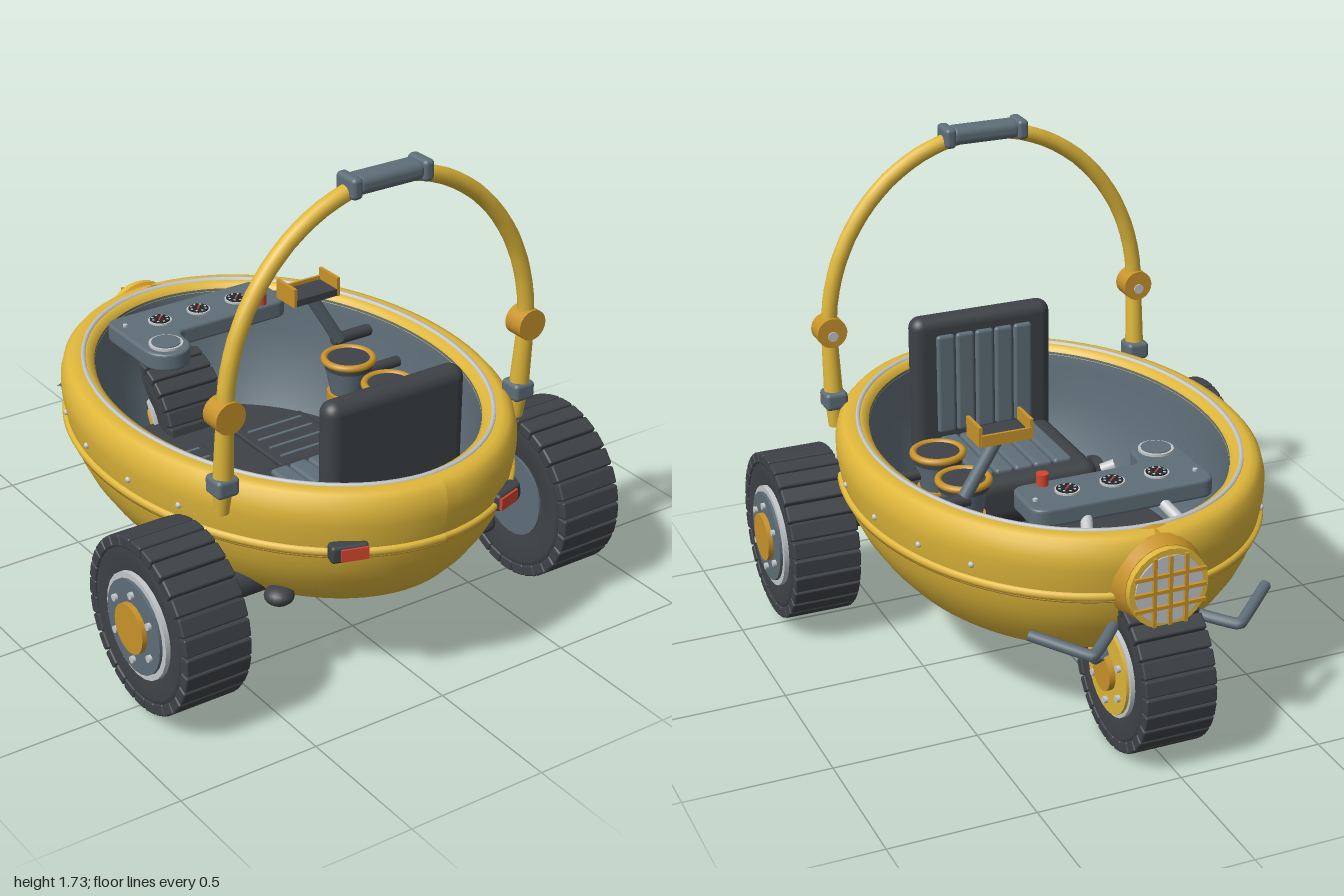
import * as THREE from 'three';
import { RoundedBoxGeometry } from 'three/addons/geometries/RoundedBoxGeometry.js';

const V = (x, y, z) => new THREE.Vector3(x, y, z);
const colour = (name, hex) => {
  const m = new THREE.MeshStandardMaterial({ color: hex });
  m.name = name;
  return m;
};

export function createModel() {
  const yellow = colour('yellow paint', 0xdfb73b), amber = colour('amber', 0xc9932b);
  const rubber = colour('dark rubber', 0x3e4246), slate = colour('slate grey', 0x5f6e78);
  const silver = colour('silver', 0xc4c8ca), black = colour('black', 0x22262a), red = colour('red', 0xd2452f);
  const model = new THREE.Group();

  const add = (name, geo, mat, x = 0, y = 0, z = 0, parent = model) => {
    const mesh = new THREE.Mesh(geo, mat);
    mesh.name = name;
    mesh.position.set(x, y, z);
    parent.add(mesh);
    return mesh;
  };
  const box = (name, w, h, d, mat, x, y, z, parent) => add(name, new THREE.BoxGeometry(w, h, d), mat, x, y, z, parent);
  const soft = (name, w, h, d, r, mat, x, y, z) => add(name, new RoundedBoxGeometry(w, h, d, 4, r), mat, x, y, z);
  // Cylinder between two points
  const rod = (name, a, b, r1, mat, r2 = r1, parent = model) => {
    const dir = b.clone().sub(a);
    const mesh = add(name, new THREE.CylinderGeometry(r2, r1, dir.length(), 24), mat, 0, 0, 0, parent);
    mesh.position.copy(a).add(b).multiplyScalar(0.5);
    mesh.quaternion.setFromUnitVectors(V(0, 1, 0), dir.normalize());
    return mesh;
  };
  const pipe = (name, pts, r, mat) => add(name, new THREE.TubeGeometry(new THREE.CatmullRomCurve3(pts, false, 'catmullrom', 0.1), 40, r, 12), mat);
  // Lathe of [half width, y] stretched to the oval plan of the hull
  const oval = (name, profile, mat) => {
    const geo = new THREE.LatheGeometry(profile.map(([r, y]) => new THREE.Vector2(r, y)), 96);
    const p = geo.attributes.position;
    for (let i = 0; i < p.count; i++) {
      const r = Math.hypot(p.getX(i), p.getZ(i));
      p.setZ(i, p.getZ(i) * (r + 0.21) / r + 0.08);
    }
    geo.computeVertexNormals();
    return add(name, geo, mat);
  };

  // Hull
  oval('hullShell', [[0.46, 0.3], [0.5, 0.302], [0.54, 0.325], [0.585, 0.375], [0.63, 0.44], [0.66, 0.5], [0.678, 0.56],
    [0.69, 0.62], [0.7, 0.68], [0.7, 0.72], [0.69, 0.76], [0.672, 0.78], [0.65, 0.787], [0.61, 0.785], [0.59, 0.775], [0.58, 0.755]], yellow);
  oval('hullBand', [[0.675, 0.57], [0.694, 0.573], [0.7, 0.585], [0.696, 0.597], [0.68, 0.6]], yellow);
  oval('bandGroove', [[0.675, 0.562], [0.69, 0.565], [0.69, 0.572], [0.675, 0.575]], amber);
  oval('rimTrim', [[0.628, 0.785], [0.626, 0.793], [0.616, 0.793], [0.612, 0.784]], silver);
  oval('innerLining', [[0.582, 0.765], [0.575, 0.72], [0.57, 0.6], [0.54, 0.45], [0.48, 0.32]], slate);

  // Floor plate, trimmed straight along the sides
  const outline = [];
  for (let i = 0; i < 64; i++) {
    const a = i / 64 * Math.PI * 2;
    outline.push(new THREE.Vector2(Math.max(-0.455, Math.min(0.455, 0.495 * Math.cos(a))), -0.08 + 0.7 * Math.sin(a)));
  }
  const floor = new THREE.ExtrudeGeometry(new THREE.Shape(outline), { depth: 0.03, bevelEnabled: false });
  floor.rotateX(-Math.PI / 2);
  add('floor', floor, rubber, 0, 0.305, 0);
  for (const s of [-1, 1]) {
    soft('floorMat', 0.29, 0.02, 0.35, 0.008, rubber, s * 0.22, 0.343, -0.175);
    for (let i = 0; i < 4; i++) box('matRib', 0.23, 0.008, 0.012, slate, s * 0.22, 0.355, -0.3 + i * 0.07);
  }

  // Wheels: built along +x, outer face at +x
  const wheel = (name, x, y, z, r, width, flip) => {
    const g = new THREE.Group();
    g.name = name;
    g.position.set(x, y, z);
    if (flip) g.rotation.y = Math.PI;
    model.add(g);
    const h = width / 2, q = r - 0.02;
    const tyre = new THREE.LatheGeometry([[0.1, -h + 0.025], [r * 0.6, -h + 0.015], [r * 0.82, -h], [q, -h + 0.015], [q, h - 0.015],
      [r * 0.82, h], [r * 0.6, h - 0.015], [0.1, h - 0.025]].map(([a, b]) => new THREE.Vector2(a, b)), 56);
    tyre.rotateZ(-Math.PI / 2);
    add('tyre', tyre, rubber, 0, 0, 0, g);
    const n = 28;
    for (let i = 0; i < n; i++) {
      const a = i / n * Math.PI * 2;
      const t = add('treadBlock', new RoundedBoxGeometry(width, 0.04, r * 2 * Math.PI / n * 0.9, 1, 0.007), rubber,
        0, Math.cos(a) * (r - 0.02), Math.sin(a) * (r - 0.02), g);
      t.rotation.x = a;
    }
    return g;
  };
  const disc = (g, name, r, x0, x1, mat) => rod(name, V(x0, 0, 0), V(x1, 0, 0), r, mat, r, g);
  const bolts = (g, n, radius, x) => {
    for (let i = 0; i < n; i++) {
      const a = i / n * Math.PI * 2, y = Math.cos(a) * radius, z = Math.sin(a) * radius;
      rod('wheelBolt', V(x - 0.01 * Math.sign(x), y, z), V(x + 0.01 * Math.sign(x), y, z), 0.012, silver, 0.012, g);
    }
  };
  for (const s of [-1, 1]) {
    const g = wheel('rearWheel', s * 0.75, 0.333, 0.54, 0.298, 0.24, s < 0);
    disc(g, 'hubRing', 0.18, 0, 0.122, silver);
    disc(g, 'hubPlate', 0.16, 0, 0.132, slate);
    disc(g, 'hubCap', 0.085, 0, 0.15, amber);
    disc(g, 'innerHub', 0.15, -0.11, 0, slate);
    bolts(g, 6, 0.118, 0.134);
    rod('rearAxle', V(s * 0.38, 0.36, 0.54), V(s * 0.68, 0.36, 0.54), 0.05, rubber);
    const pad = add('suspensionPad', new THREE.SphereGeometry(0.05, 20, 12), rubber, s * 0.41, 0.35, 0.66);
    pad.scale.set(1, 0.65, 1);
  }
  const front = wheel('frontWheel', 0, 0.277, -0.72, 0.277, 0.25, false);
  for (const s of [-1, 1]) {
    disc(front, 'hubRing', 0.16, 0, s * 0.124, silver);
    disc(front, 'hubPlate', 0.148, 0, s * 0.134, yellow);
    disc(front, 'hubCap', 0.065, 0, s * 0.155, amber);
    bolts(front, 6, 0.108, s * 0.137);
    rod('forkPeg', V(s * 0.15, 0.35, -0.73), V(s * 0.16, 0.31, -0.68), 0.024, slate);
    pipe('frontBar', [V(s * 0.1, 0.46, -0.72), V(s * 0.18, 0.45, -0.81), V(s * 0.26, 0.44, -0.88), V(s * 0.42, 0.485, -0.75)], 0.019, slate);
  }

  // Headlight with guard
  rod('headlightBase', V(0, 0.625, -0.76), V(0, 0.625, -0.86), 0.168, amber, 0.14);
  rod('headlightRing', V(0, 0.625, -0.85), V(0, 0.625, -0.885), 0.138, yellow);
  rod('headlightLens', V(0, 0.625, -0.88), V(0, 0.625, -0.89), 0.118, silver);
  for (const k of [-0.055, 0, 0.055]) {
    box('guardBar', 0.012, 0.24, 0.012, amber, k, 0.625, -0.896);
    box('guardBar', 0.25, 0.012, 0.012, amber, 0, 0.625 + k, -0.896);
  }

  // Tail lights and side rivets
  for (const s of [-1, 1]) {
    const t = new THREE.Group();
    t.name = 'tailLight';
    t.position.set(s * 0.31, 0.598, 0.893);
    t.rotation.y = s * 0.3;
    model.add(t);
    add('tailLightHousing', new RoundedBoxGeometry(0.125, 0.06, 0.05, 2, 0.012), rubber, 0, 0, 0, t);
    box('tailLightLens', 0.09, 0.042, 0.02, red, -s * 0.014, 0, 0.022, t);
    for (const z of [0.43, 0.2, -0.075, -0.32, -0.52])
      add('rivet', new THREE.SphereGeometry(0.011, 10, 8), silver, s * 0.694 * Math.sqrt(1 - ((z - 0.08) / 0.904) ** 2), 0.645, z);
  }

  // Roll bar
  const arch = [];
  for (let i = 0; i <= 24; i++) {
    const a = i / 24 * Math.PI;
    arch.push(V(Math.cos(a) * 0.59, 1.04 + Math.sin(a) * 0.65, 0.628));
  }
  pipe('rollBar', arch, 0.028, yellow);
  soft('rollBarGrip', 0.26, 0.062, 0.085, 0.025, slate, 0, 1.69, 0.628);
  for (const s of [-1, 1]) {
    soft('gripCollar', 0.04, 0.072, 0.1, 0.015, slate, s * 0.135, 1.69, 0.628);
    rod('rollBarJoint', V(s * 0.59, 1.04, 0.588), V(s * 0.59, 1.04, 0.664), 0.054, amber);
    rod('jointBolt', V(s * 0.59, 1.03, 0.58), V(s * 0.59, 1.03, 0.585), 0.018, silver);
    rod('rollBarPost', V(s * 0.588, 0.78, 0.61), V(s * 0.59, 1.03, 0.628), 0.034, yellow, 0.028);
    soft('postClamp', 0.082, 0.065, 0.085, 0.015, slate, s * 0.588, 0.787, 0.608);
    rod('postFoot', V(s * 0.588, 0.685, 0.602), V(s * 0.588, 0.77, 0.608), 0.024, yellow, 0.032);
  }

  // Seat
  soft('seatCushion', 0.54, 0.17, 0.5, 0.05, rubber, 0, 0.46, 0.46);
  soft('seatBack', 0.54, 0.53, 0.09, 0.043, rubber, 0, 0.745, 0.69);
  box('seatPedestal', 0.4, 0.08, 0.36, black, 0, 0.36, 0.46);
  for (let i = 0; i < 5; i++) {
    const x = (i - 2) * 0.075;
    soft('cushionRib', 0.069, 0.03, 0.36, 0.012, slate, x, 0.545, 0.45);
    soft('backRib', 0.069, 0.38, 0.03, 0.012, slate, x, 0.755, 0.646);
  }
  for (const s of [-1, 1]) {
    rod('seatStay', V(s * 0.28, 0.42, 0.45), V(s * 0.32, 0.4, 0.45), 0.022, silver);
    rod('seatStay', V(s * 0.38, 0.4, 0.44), V(s * 0.425, 0.42, 0.42), 0.022, silver);
  }

  // Dashboard
  const d = new THREE.Shape();
  d.moveTo(-0.315, 0.29);
  d.absarc(-0.24, 0.29, 0.075, Math.PI, Math.PI * 2);
  d.quadraticCurveTo(-0.165, 0.365, -0.12, 0.37);
  d.lineTo(0.27, 0.37);
  d.quadraticCurveTo(0.31, 0.37, 0.31, 0.41);
  d.lineTo(0.31, 0.52);
  d.quadraticCurveTo(0.31, 0.56, 0.27, 0.56);
  d.lineTo(-0.275, 0.56);
  d.quadraticCurveTo(-0.315, 0.56, -0.315, 0.52);
  const dash = new THREE.ExtrudeGeometry(d, { depth: 0.045, bevelSize: 0.01, bevelThickness: 0.01, bevelSegments: 3 });
  dash.rotateX(-Math.PI / 2);
  add('dashboard', dash, slate, 0, 0.755, 0);
  const dial = (name, x, z, r, y, h, mat) => rod(name, V(x, y, z), V(x, y + h, z), r, mat);
  for (const x of [-0.16, 0, 0.16]) {
    dial('gaugeRing', x, -0.46, 0.042, 0.805, 0.012, silver);
    dial('gaugeFace', x, -0.46, 0.036, 0.81, 0.01, black);
    for (let i = 0; i < 8; i++) {
      const a = i * Math.PI / 4;
      box('gaugeMark', 0.007, 0.002, 0.007, silver, x + Math.cos(a) * 0.027, 0.821, -0.46 + Math.sin(a) * 0.027);
    }
    const needle = box('gaugeNeedle', 0.03, 0.003, 0.005, red, x, 0.822, -0.46);
    needle.rotation.y = 0.8;
  }
  dial('holderRing', -0.24, -0.29, 0.06, 0.805, 0.014, silver);
  dial('holderFace', -0.24, -0.29, 0.051, 0.81, 0.012, slate);
  dial('redButton', 0.215, -0.385, 0.021, 0.81, 0.04, red);
  for (const s of [-1, 1]) {
    dial('dashScrew', s * 0.285, -0.49, 0.008, 0.81, 0.008, silver);
    rod('dashStrut', V(s * 0.13, 0.76, -0.54), V(s * 0.175, 0.7, -0.66), 0.02, silver);
  }

  // Control lever
  box('leverTray', 0.18, 0.025, 0.11, rubber, 0.275, 0.917, -0.175);
  for (const x of [0.185, 0.366]) box('leverTraySide', 0.012, 0.07, 0.112, amber, x, 0.938, -0.175);
  box('leverTrayEdge', 0.18, 0.04, 0.01, amber, 0.275, 0.923, -0.228);
  rod('leverPost', V(0.41, 0.7, -0.175), V(0.28, 0.91, -0.175), 0.023, slate);
  rod('leverMount', V(0.39, 0.7, -0.18), V(0.56, 0.7, -0.18), 0.022, rubber);

  // Drum pods on the side wall
  for (const z of [-0.03, 0.21]) {
    rod('podBody', V(0.35, 0.56, z), V(0.35, 0.68, z), 0.06, slate, 0.085);
    rod('podBase', V(0.35, 0.54, z), V(0.35, 0.575, z), 0.075, amber);
    dial('podTop', 0.35, z, 0.085, 0.67, 0.035, rubber);
    const ring = add('podRing', new THREE.TorusGeometry(0.086, 0.013, 10, 40), amber, 0.35, 0.7, z);
    ring.rotation.x = Math.PI / 2;
    rod('podArm', V(0.4, 0.63, z), V(0.57, 0.63, z), 0.02, rubber);
  }
  return model;
}
